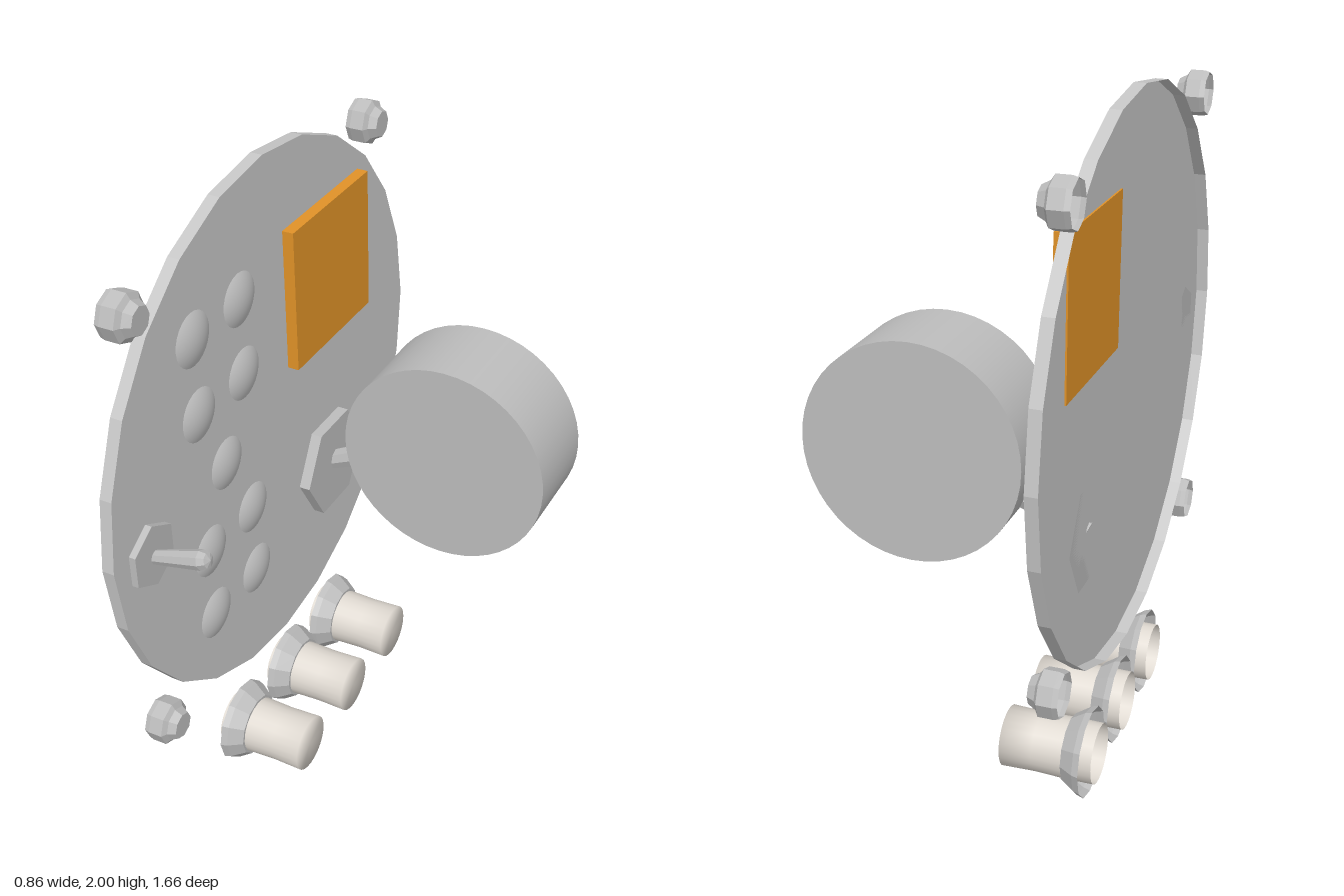
import * as THREE from 'three';

const mat = (name, color, side = THREE.FrontSide) => {
  const m = new THREE.MeshStandardMaterial({ color, side });
  m.name = name;
  return m;
};

// Flat normals for low-poly parts
function faceted(geo) {
  const g = geo.index ? geo.toNonIndexed() : geo;
  g.computeVertexNormals();
  return g;
}

// Revolved profile of [radius, height] points
const lathe = (points, sides) =>
  new THREE.LatheGeometry(points.map(([r, h]) => new THREE.Vector2(r, h)), sides);

// Turn a y-axis geometry so that it points along +x
const alongX = (geo) => geo.rotateZ(-Math.PI / 2);

export function createModel() {
  const panelGrey = mat('panelGrey', 0xc6c6c6, THREE.DoubleSide);
  const metalGrey = mat('metalGrey', 0xbcbcbc, THREE.DoubleSide);
  const orange = mat('orange', 0xe09228);
  const warmWhite = mat('warmWhite', 0xe0dad2, THREE.DoubleSide);

  const model = new THREE.Group();
  model.name = 'controlPanel';

  const add = (parent, name, geo, material, x = 0, y = 0, z = 0) => {
    const mesh = new THREE.Mesh(geo, material);
    mesh.name = name;
    mesh.position.set(x, y, z);
    parent.add(mesh);
    return mesh;
  };

  // Panel group: very slightly turned; its x = 0 is the middle of the rim
  const panel = new THREE.Group();
  panel.name = 'panel';
  panel.position.x = -0.393;
  panel.rotation.y = -0.011;
  model.add(panel);

  // Shallow disc, open at the back
  const half = 0.018;
  add(panel, 'disc', faceted(alongX(lathe([[0.828, -half], [0.828, half], [0, half]], 24))),
    panelGrey, 0, 1.172, 0);

  // Orange display, its back just showing behind the disc face
  add(panel, 'display', new THREE.BoxGeometry(0.04, 0.447, 0.447), orange, 0.033, 1.513, -0.309);

  // Shallow domes in two columns with one in the middle
  const spots = [[1.173, 0.273]];
  for (const y of [1.642, 1.406, 0.935, 0.7]) for (const z of [0.387, 0.154]) spots.push([y, z]);
  const domeRadius = 0.17, domeAngle = 0.49;
  const domeGeo = alongX(new THREE.SphereGeometry(domeRadius, 24, 8, 0, Math.PI * 2, 0, domeAngle)
    .translate(0, -domeRadius * Math.cos(domeAngle), 0));
  for (const [y, z] of spots) add(panel, 'dome', domeGeo, panelGrey, half, y, z);

  // Hexagonal base plates of the two levers
  const hexPlate = (name, radius, depth, turn, y, z) =>
    add(panel, name, faceted(alongX(new THREE.CylinderGeometry(radius, radius, depth, 6).rotateY(turn))),
      metalGrey, half + depth / 2, y, z);
  hexPlate('largeLeverBase', 0.173, 0.035, 0, 0.824, -0.295);
  hexPlate('smallLeverBase', 0.098, 0.02, Math.PI / 6, 1.133, 0.674);

  // Levers: a profile revolved around the line between two points
  const lever = (name, from, to, profile, sides) => {
    const a = new THREE.Vector3(...from);
    const dir = new THREE.Vector3(...to).sub(a);
    const length = dir.length();
    const geo = faceted(lathe(profile.map(([r, t]) => [r, t * length]), sides));
    const mesh = add(model, name, geo, metalGrey, ...from);
    mesh.quaternion.setFromUnitVectors(new THREE.Vector3(0, 1, 0), dir.normalize());
  };
  lever('largeLever', [-0.366, 0.821, -0.297], [-0.1, 0.947, -0.297],
    [[0, 0], [0.031, 0], [0.043, 1], [0, 1]], 8);
  lever('smallLever', [-0.374, 1.124, 0.672], [-0.187, 1.178, 0.672],
    [[0, 0], [0.02, 0], [0.029, 0.85], [0.022, 0.96], [0, 1]], 8);

  // Large round knob on the end of the big lever
  const knob = add(model, 'knob',
    new THREE.CylinderGeometry(0.324, 0.324, 0.28, 48).rotateX(Math.PI / 2),
    metalGrey, 0.101, 1.04, -0.29);
  knob.rotation.y = -0.01;

  // Four corner nuts with a small raised tip, hollow at the back
  const nutGeo = faceted(alongX(lathe([
    [0.064, -0.045], [0.068, -0.03], [0.068, 0.012], [0.052, 0.022],
    [0.04, 0.045], [0, 0.045],
  ], 8)));
  const corners = [[1.851, 0.655], [1.84, -0.642], [0.497, 0.663], [0.543, -0.68]];
  for (const [y, z] of corners) add(model, 'cornerNut', nutGeo, metalGrey, -0.385, y, z);

  // Three push buttons below: tube with a soft closed tip, and a flared open collar
  const capGeo = alongX(lathe([
    [0.089, -0.43], [0.09, -0.34], [0.087, -0.25], [0.09, -0.153], [0, -0.153],
  ], 24));
  const collarGeo = faceted(alongX(lathe([
    [0.134, -0.405], [0.128, -0.385], [0.1, -0.342], [0.088, -0.342],
  ], 12)));
  for (const z of [0.258, -0.04, -0.333]) {
    const button = new THREE.Group();
    button.name = 'pushButton';
    button.position.set(0, 0.134, z);
    model.add(button);
    add(button, 'buttonCap', capGeo, warmWhite);
    add(button, 'buttonCollar', collarGeo, metalGrey);
  }

  return model;
}
